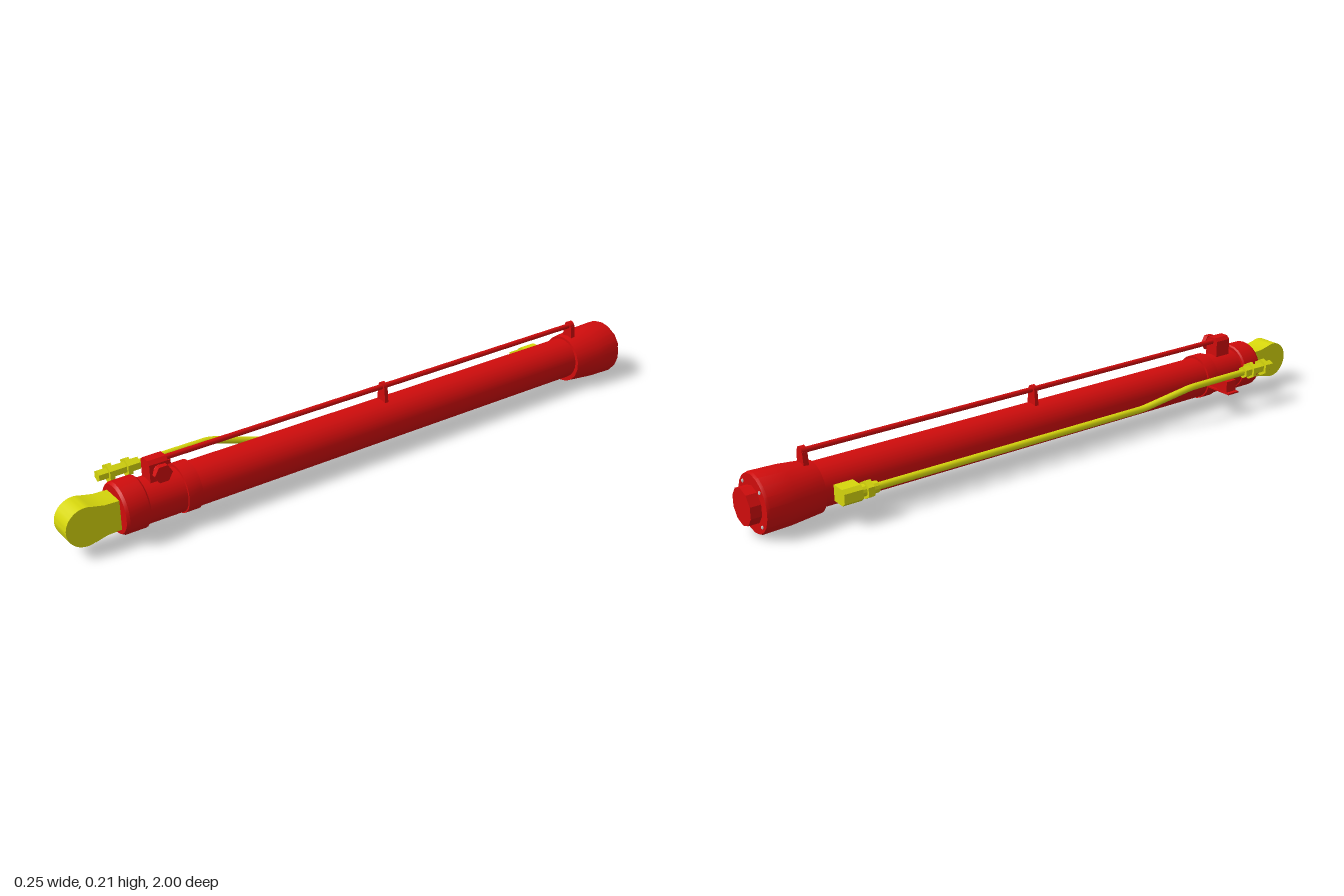
import * as THREE from 'three';
import { toCreasedNormals } from 'three/addons/utils/BufferGeometryUtils.js';

const red = new THREE.MeshStandardMaterial({ color: 0xd00c0c });
const yellow = new THREE.MeshStandardMaterial({ color: 0xd6d60c });
const grey = new THREE.MeshStandardMaterial({ color: 0xcccccc });
const CX = 0.038, CY = 0.094; // main axis, running along z

export function createModel() {
  const model = new THREE.Group();

  const add = (name, geometry, material, x = 0, y = 0, z = 0) => {
    const mesh = new THREE.Mesh(geometry, material);
    mesh.name = name;
    mesh.position.set(x, y, z);
    model.add(mesh);
    return mesh;
  };
  const box = (name, material, x0, x1, y0, y1, z0, z1) =>
    add(name, new THREE.BoxGeometry(x1 - x0, y1 - y0, z1 - z0), material,
      (x0 + x1) / 2, (y0 + y1) / 2, (z0 + z1) / 2);
  // Solid of revolution around z from [radius, z] pairs, back to front
  const turned = (name, material, x, y, profile, sides) => {
    const pts = profile.map(([r, z]) => new THREE.Vector2(r, z));
    const g = new THREE.LatheGeometry(pts, sides).rotateX(Math.PI / 2);
    return add(name, toCreasedNormals(g, 0.5), material, x, y);
  };
  const disc = (r, z0, z1) => [[0, z0], [r, z0], [r, z1], [0, z1]];
  // Side profile (z, y) extruded across x
  const sideExtrude = (name, material, shape, x0, x1) => {
    const g = new THREE.ExtrudeGeometry(shape, { depth: x1 - x0, bevelEnabled: false, curveSegments: 16 });
    return add(name, toCreasedNormals(g.rotateY(-Math.PI / 2), 0.5), material, x1);
  };
  const polygon = (points) => new THREE.Shape(points.map(([a, b]) => new THREE.Vector2(a, b)));
  // Pipe with straight runs and softened corners
  const pipe = (name, material, points, r) => {
    const p = points.map((a) => new THREE.Vector3(...a));
    const path = new THREE.CurvePath();
    let start = p[0];
    for (let i = 1; i < p.length - 1; i++) {
      const a = p[i].clone().add(p[i - 1].clone().sub(p[i]).setLength(0.02));
      const b = p[i].clone().add(p[i + 1].clone().sub(p[i]).setLength(0.02));
      path.add(new THREE.LineCurve3(start, a));
      path.add(new THREE.QuadraticBezierCurve3(a, p[i], b));
      start = b;
    }
    path.add(new THREE.LineCurve3(start, p[p.length - 1]));
    return add(name, new THREE.TubeGeometry(path, 160, r, 10), material);
  };

  // Barrel with front gland and rear head
  turned('barrel', red, CX, CY, disc(0.065, -0.8, 0.78), 32);
  turned('frontGland', red, CX, CY + 0.004,
    [[0, 0.77], [0.071, 0.77], [0.075, 0.775], [0.075, 0.835], [0.07, 0.843], [0, 0.843]], 24);
  turned('rearHead', red, CX + 0.001, CY - 0.003,
    [[0, -0.968], [0.084, -0.968], [0.087, -0.96], [0.085, -0.88], [0.076, -0.79], [0, -0.79]], 18);
  turned('rearCap', red, CX, CY - 0.003, disc(0.054, -1, -0.96), 10);
  for (let i = 0; i < 4; i++) {
    const a = Math.PI / 4 + i * Math.PI / 2;
    turned('rearBolt', grey, CX + 0.07 * Math.cos(a), CY - 0.003 + 0.07 * Math.sin(a), disc(0.005, -0.971, -0.96), 8);
  }

  // Rod eye
  const eye = new THREE.Shape();
  eye.moveTo(0.83, 0.052);
  eye.lineTo(0.885, 0.05);
  eye.lineTo(0.92, 0.041);
  eye.absarc(0.942, 0.096, 0.058, -1.95, 1.95, false);
  eye.lineTo(0.885, 0.142);
  eye.lineTo(0.83, 0.14);
  sideExtrude('rodEye', yellow, eye, 0.002, 0.074);

  // Clamp band and saddle bracket for the side pipe
  turned('clampBand', red, CX, CY + 0.002, disc(0.071, 0.612, 0.655), 24);
  box('bracketPlate', red, -0.128, -0.03, 0.081, 0.086, 0.608, 0.652);
  box('bracketArm', red, -0.078, -0.025, 0.084, 0.107, 0.615, 0.645);
  box('bracketSaddle', red, -0.116, -0.074, 0.084, 0.122, 0.61, 0.65);

  // Upper pipe with its fitting, middle support and rear support
  pipe('upperPipe', red, [[CX, 0.203, 0.72], [CX, 0.203, -0.815]], 0.008);
  const head = polygon([[0.015, 0.14], [0.063, 0.14], [0.063, 0.207], [0.053, 0.217], [0.025, 0.217], [0.015, 0.207]]);
  add('upperFitting', new THREE.ExtrudeGeometry(head, { depth: 0.056, bevelEnabled: false }), red, 0, 0, 0.688);
  const sidePlug = (r, x0, x1, sides) => {
    const g = new THREE.CylinderGeometry(r, r, x1 - x0, sides).rotateZ(Math.PI / 2);
    add('fittingPlug', toCreasedNormals(g, 0.5), red, (x0 + x1) / 2, 0.185, 0.716);
  };
  sidePlug(0.018, 0.06, 0.078, 12);
  sidePlug(0.027, 0.075, 0.09, 6);
  for (const [z, y0, t] of [[-0.05, 0.15, 0.012], [-0.816, 0.16, 0.016]]) {
    const s = new THREE.Shape();
    s.moveTo(0.018, y0);
    s.lineTo(0.058, y0);
    s.lineTo(0.053, 0.203);
    s.absarc(CX, 0.203, 0.014, 0, Math.PI, false);
    s.lineTo(0.023, 0.203);
    add('pipeSupport', new THREE.ExtrudeGeometry(s, { depth: t, bevelEnabled: false }), red, 0, 0, z - t / 2);
  }

  // Side pipe, bending outward and upward towards the front
  pipe('sidePipe', yellow, [[-0.06, 0.088, -0.72], [-0.064, 0.088, 0.3],
    [-0.096, 0.13, 0.47], [-0.096, 0.13, 0.8]], 0.0105);

  // Rear port block with its nuts
  const block = polygon([[-0.028, 0.065], [-0.028, 0.113], [-0.072, 0.113], [-0.084, 0.103], [-0.084, 0.075], [-0.072, 0.065]].reverse());
  add('portBlock', new THREE.ExtrudeGeometry(block, { depth: 0.058, bevelEnabled: false }), yellow, 0, 0, -0.764);
  turned('portNeck', yellow, -0.06, 0.088, disc(0.017, -0.71, -0.65), 12);
  turned('portNut', yellow, -0.06, 0.088, disc(0.027, -0.69, -0.67), 6);

  // Front coupling: stepped hexagons
  const hexes = [[0.02, 0.7, 0.727], [0.028, 0.727, 0.741], [0.018, 0.741, 0.782], [0.028, 0.782, 0.796], [0.017, 0.796, 0.825]];
  for (const [r, z0, z1] of hexes) turned('couplingNut', yellow, -0.096, 0.13, disc(r, z0, z1), 6);

  return model;
}
